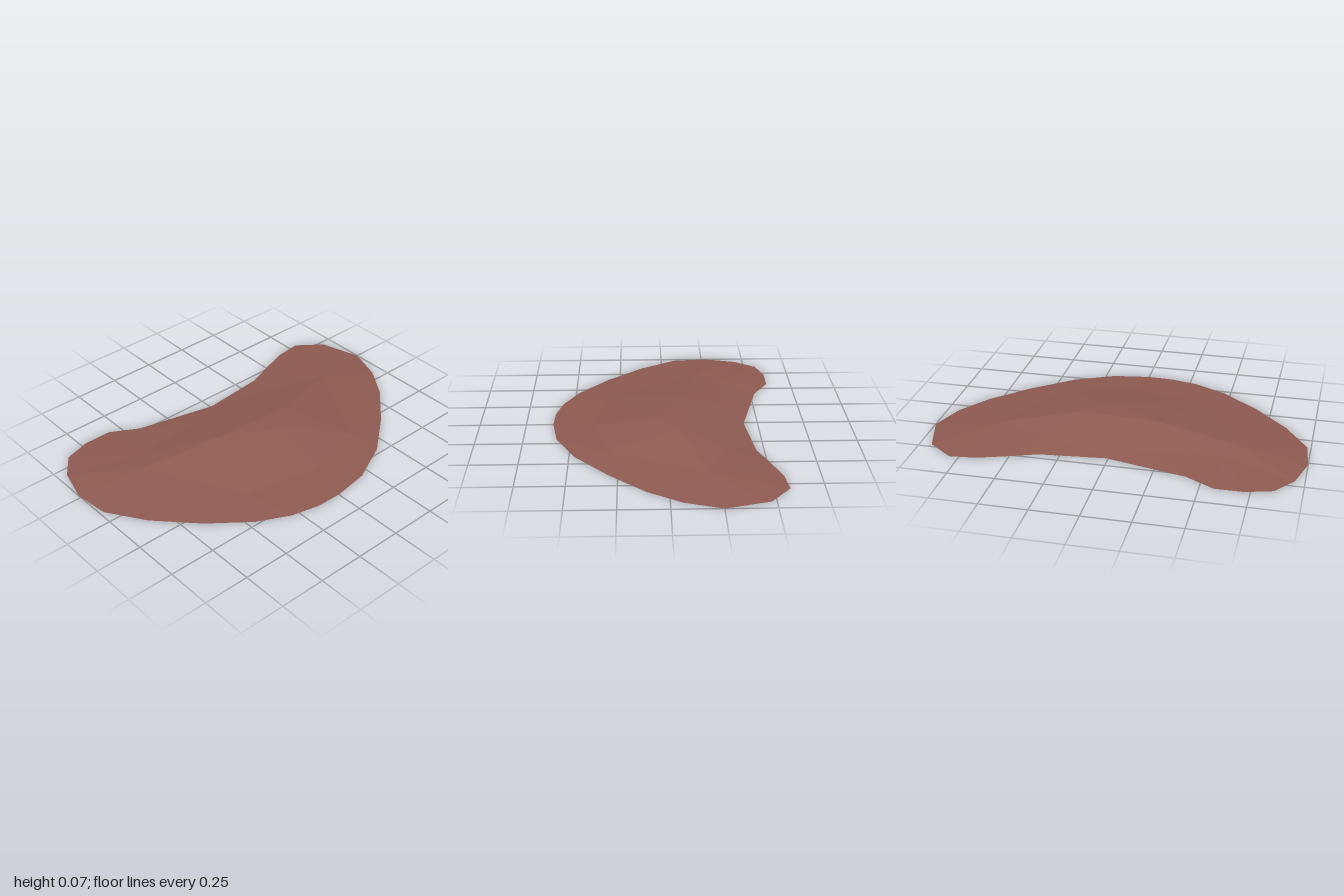
import * as THREE from 'three';

// Loops of [x, y, z], each running from the left end round the back.
const rim = [
  [-1, -0.27], [-0.95, -0.45], [-0.86, -0.57], [-0.72, -0.61], [-0.57, -0.61],
  [-0.42, -0.525], [0.01, -0.425], [0.36, -0.46], [0.51, -0.515], [0.66, -0.565],
  [0.8, -0.58], [0.935, -0.475], [1, -0.25], [0.935, -0.06], [0.82, 0.11],
  [0.63, 0.3], [0.42, 0.47], [0.2, 0.575], [0, 0.605], [-0.14, 0.6],
  [-0.29, 0.565], [-0.46, 0.48], [-0.66, 0.32], [-0.85, 0.12], [-0.98, -0.08],
].map(([x, z]) => new THREE.Vector3(x, 0, z));

const slope = [
  [-0.65, 0.032, -0.2], [-0.57, 0.02, -0.31], [-0.2, 0.022, -0.34], [0.37, 0.022, -0.3],
  [0.66, 0.025, -0.2], [0.4, 0.017, 0.3], [0.05, 0.015, 0.39], [-0.35, 0.016, 0.31],
].map((p) => new THREE.Vector3(...p));

const crest = [
  [-0.2, 0.073, -0.1], [0.24, 0.073, -0.07], [0.1, 0.073, 0.05],
].map((p) => new THREE.Vector3(...p));

// Joins an outer loop to an inner one, always taking the shorter diagonal.
function bridge(outer, inner, out) {
  const a = (i) => outer[i % outer.length];
  const b = (j) => inner[j % inner.length];
  let i = 0, j = 0;
  while (i < outer.length || j < inner.length) {
    const stepOuter = j === inner.length ||
      (i < outer.length && a(i + 1).distanceTo(b(j)) <= a(i).distanceTo(b(j + 1)));
    if (stepOuter) out.push(a(i), b(j), a(++i));
    else out.push(a(i), b(j), b(++j));
  }
}

export function createModel() {
  const group = new THREE.Group();
  group.name = 'lowMound';

  const clay = new THREE.MeshStandardMaterial({
    color: 0x8d5a51, flatShading: true, side: THREE.DoubleSide,
  });
  clay.name = 'reddish brown';

  // Open shell: rim to slope, slope to crest, then the flat crest
  const points = [];
  bridge(rim, slope, points);
  bridge(slope, crest, points);
  points.push(crest[0], crest[2], crest[1]);

  const geometry = new THREE.BufferGeometry().setFromPoints(points);
  geometry.computeVertexNormals();
  const mound = new THREE.Mesh(geometry, clay);
  mound.name = 'moundSurface';
  group.add(mound);
  return group;
}
